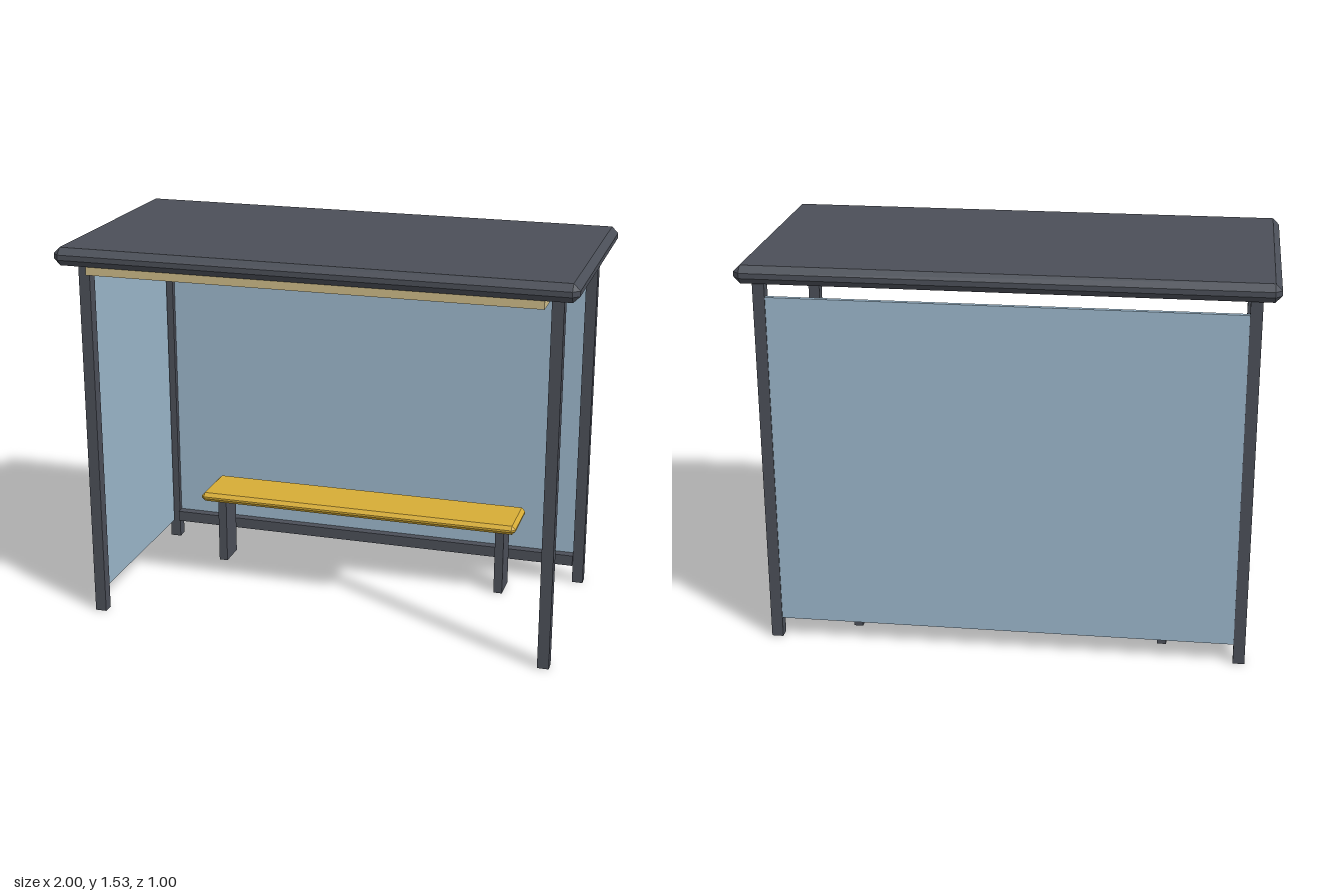
import * as THREE from 'three';
import { ConvexGeometry } from 'three/addons/geometries/ConvexGeometry.js';

const material = (name, color) => {
  const m = new THREE.MeshStandardMaterial({ color });
  m.name = name;
  return m;
};

// Box given by its lower and upper limits on x, y and z
function box(name, mat, x, y, z) {
  const mesh = new THREE.Mesh(new THREE.BoxGeometry(x[1] - x[0], y[1] - y[0], z[1] - z[0]), mat);
  mesh.position.set((x[0] + x[1]) / 2, (y[0] + y[1]) / 2, (z[0] + z[1]) / 2);
  mesh.name = name;
  return mesh;
}

// Box with every edge cut at 45 degrees
function chamferedBox(name, mat, x, y, z, cut) {
  const half = [x, y, z].map(r => (r[1] - r[0]) / 2);
  const points = [];
  for (const sx of [-1, 1]) for (const sy of [-1, 1]) for (const sz of [-1, 1]) {
    for (let outer = 0; outer < 3; outer++) {
      const h = half.map((v, i) => (i === outer ? v : v - cut));
      points.push(new THREE.Vector3(sx * h[0], sy * h[1], sz * h[2]));
    }
  }
  const mesh = new THREE.Mesh(new ConvexGeometry(points), mat);
  mesh.position.set((x[0] + x[1]) / 2, (y[0] + y[1]) / 2, (z[0] + z[1]) / 2);
  mesh.name = name;
  return mesh;
}

export function createModel() {
  const frame = material('dark frame', 0x4b4f58);
  const glass = material('blue glass', 0x9bb6ca);
  const yellow = material('yellow bench', 0xd6ac36);
  const cream = material('cream lamp', 0xcdbb88);

  const shelter = new THREE.Group();
  shelter.name = 'shelter';

  // Roof and the lamp strip under its front edge
  shelter.add(chamferedBox('roof', frame, [-1, 1], [1.46, 1.53], [-0.5, 0.5], 0.025));
  shelter.add(box('lampStrip', cream, [-0.875, 0.875], [1.427, 1.46], [0.37, 0.47]));

  // Corner posts
  for (const x of [-0.935, 0.89]) {
    shelter.add(box('frontPost', frame, [x, x + 0.045], [0, 1.465], [0.36, 0.405]));
    shelter.add(box('backPost', frame, [x, x + 0.045], [0, 1.465], [-0.465, -0.42]));
  }

  // Glass at the back and on the model's right; the other side is open
  shelter.add(box('backPanel', glass, [-0.89, 0.89], [0.08, 1.405], [-0.461, -0.442]));
  shelter.add(box('sidePanel', glass, [-0.931, -0.912], [0.08, 1.405], [-0.405, 0.345]));
  shelter.add(box('bottomRail', frame, [-0.89, 0.89], [0.08, 0.125], [-0.442, -0.405]));

  // Bench
  const bench = new THREE.Group();
  bench.name = 'bench';
  bench.add(chamferedBox('seat', yellow, [-0.685, 0.685], [0.29, 0.328], [-0.4, -0.157], 0.015));
  for (const x of [-0.61, 0.61]) {
    bench.add(box('benchLeg', frame, [x - 0.018, x + 0.018], [0, 0.292], [-0.34, -0.22]));
  }
  shelter.add(bench);
  return shelter;
}
